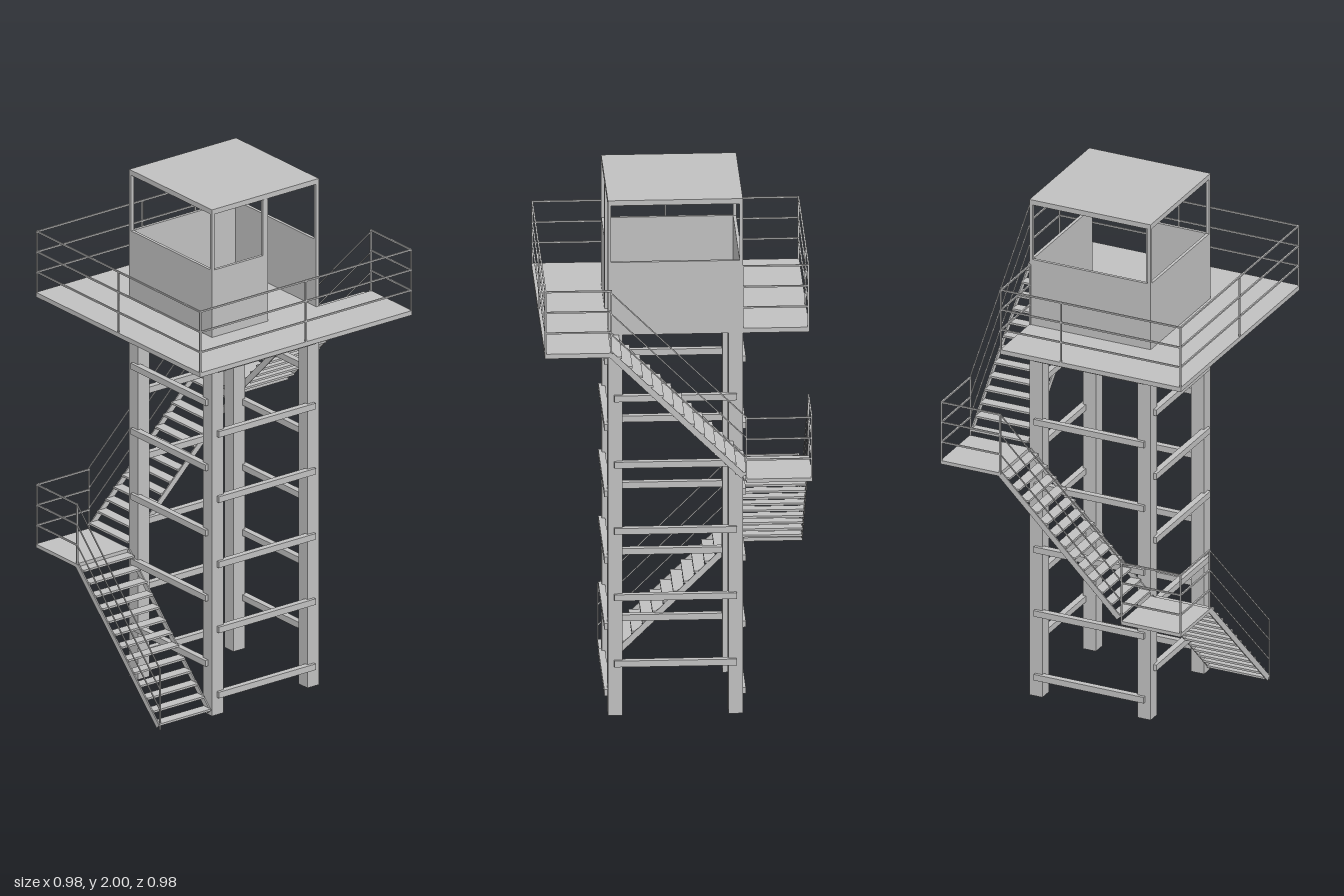
import * as THREE from 'three';

const grey = new THREE.MeshStandardMaterial({ color: 0xc0c0c0 });
const H = 0.247;    // half width of tower and cabin
const E = 0.49;     // half width of platform
const RISE = 0.496; // height gained by each flight
const DECK = 1.496; // top of the platform

// Box given by its two extreme corners
function block(parent, name, x0, x1, y0, y1, z0, z1) {
  const m = new THREE.Mesh(new THREE.BoxGeometry(x1 - x0, y1 - y0, z1 - z0), grey);
  m.position.set((x0 + x1) / 2, (y0 + y1) / 2, (z0 + z1) / 2);
  m.name = name;
  parent.add(m);
  return m;
}

// Square bar between two points
function bar(parent, name, a, b, w, h = w) {
  const from = new THREE.Vector3(...a), to = new THREE.Vector3(...b);
  const m = new THREE.Mesh(new THREE.BoxGeometry(w, h, from.distanceTo(to)), grey);
  m.position.copy(from).add(to).multiplyScalar(0.5);
  m.lookAt(to);
  m.name = name;
  parent.add(m);
}

// Railing along a path: a post at each point and three rails between
function railing(parent, name, points, t = 0.006) {
  const g = new THREE.Group();
  g.name = name;
  points.forEach(([x, y, z], i) => {
    bar(g, 'railPost', [x, y, z], [x, y + 0.243, z], t);
    if (i === 0) return;
    const [px, py, pz] = points[i - 1];
    for (const h of [0.08, 0.16, 0.24]) {
      bar(g, 'rail', [px, py + h, pz], [x, y + h, z], t);
    }
  });
  parent.add(g);
}

// One flight climbing towards +x on the -z side, turned into place
function flight(name, y0, angle, hasLanding) {
  const g = new THREE.Group();
  g.name = name;
  const n = 13, run = 2 * H / n, step = RISE / n;
  for (let i = 0; i < n; i++) {
    const x = -H + (i + 0.5) * run, y = (i + 0.7) * step;
    block(g, 'tread', x - 0.021, x + 0.021, y - 0.004, y + 0.004, -E + 0.003, -H - 0.006);
  }
  for (const z of [-E + 0.003, -H - 0.005]) {
    bar(g, 'stringer', [-H + 0.01, 0.016, z], [H, RISE, z], 0.005, 0.022);
  }
  const r = E - 0.003;
  const path = [[-H, 0.006, -r], [H, RISE, -r]];
  railing(g, 'stairRailing', path, 0.004);
  if (hasLanding) {
    block(g, 'landing', H, E, RISE - 0.008, RISE + 0.006, -E, -H);
    railing(g, 'landingRailing', [[H, RISE, -r], [r, RISE, -r], [r, RISE, -H]]);
  }
  g.position.y = y0;
  g.rotation.y = angle;
  return g;
}

export function createModel() {
  const model = new THREE.Group();

  // Four legs
  for (const x of [-0.2205, 0.2205]) for (const z of [-0.2205, 0.2205]) {
    block(model, 'leg', x - 0.0265, x + 0.0265, 0, 1.485, z - 0.0265, z + 0.0265);
  }

  // Cross bars, staggered between neighbouring sides
  const t = 0.012;
  for (const s of [-1, 1]) {
    for (let i = 0; i < 6; i++) {
      const y = 0.08 + i * 0.2575, c = s * H;
      block(model, 'crossBar', -0.224, 0.224, y - t, y + t, c - t, c + t);
      if (i < 5) block(model, 'sideCrossBar', c - t, c + t, y + 0.123 - t, y + 0.123 + t, -0.224, 0.224);
    }
  }

  // Stairs winding around three sides
  model.add(flight('lowerStairs', 0, Math.PI / 2, true));
  model.add(flight('middleStairs', RISE, 0, true));
  model.add(flight('upperStairs', 2 * RISE, -Math.PI / 2, false));

  // Platform with a corner left open for the stairs
  const deck = new THREE.Group();
  deck.name = 'platform';
  block(deck, 'deck', -E, H, 1.487, DECK, -E, E);
  block(deck, 'deckCorner', H, E, 1.487, DECK, H, E);
  for (const z of [-E + 0.006, -H, 0, H, E - 0.006]) {
    block(deck, 'floorBeam', -E, z > 0.1 ? E : H, 1.478, 1.487, z - 0.006, z + 0.006);
  }
  for (const x of [-E + 0.006, -H, 0, H - 0.006, E - 0.006]) {
    block(deck, 'floorBeam', x - 0.006, x + 0.006, 1.478, 1.487, x > 0.3 ? H : -E, E);
  }
  const r = E - 0.003;
  railing(deck, 'platformRailing', [
    [r, DECK, H], [r, DECK, r], [0, DECK, r], [-r, DECK, r], [-r, DECK, 0],
    [-r, DECK, -r], [0, DECK, -r], [H - 0.003, DECK, -r], [H - 0.003, DECK, -H],
  ]);
  model.add(deck);

  // Cabin: low walls, thin posts, flat roof and an open doorway
  const cabin = new THREE.Group();
  cabin.name = 'cabin';
  const w = 0.012, top = 1.76;
  block(cabin, 'backWall', -H, H, 1.48, top, -H, -H + w);
  block(cabin, 'rightWall', -H, -H + w, 1.48, top, -H + w, H);
  block(cabin, 'leftWall', H - w, H, 1.48, top, -H + w, H);
  block(cabin, 'frontWall', -H + w, 0, 1.48, top, H - w, H);
  for (const x of [-H, H - w]) for (const z of [-H, H - w]) {
    block(cabin, 'cornerPost', x, x + w, top, 1.98, z, z + w);
  }
  block(cabin, 'doorPost', -0.011, 0.011, DECK, 1.98, H - w, H + 0.0005);
  block(cabin, 'roof', -H, H, 1.98, 2, -H, H);
  model.add(cabin);

  return model;
}
